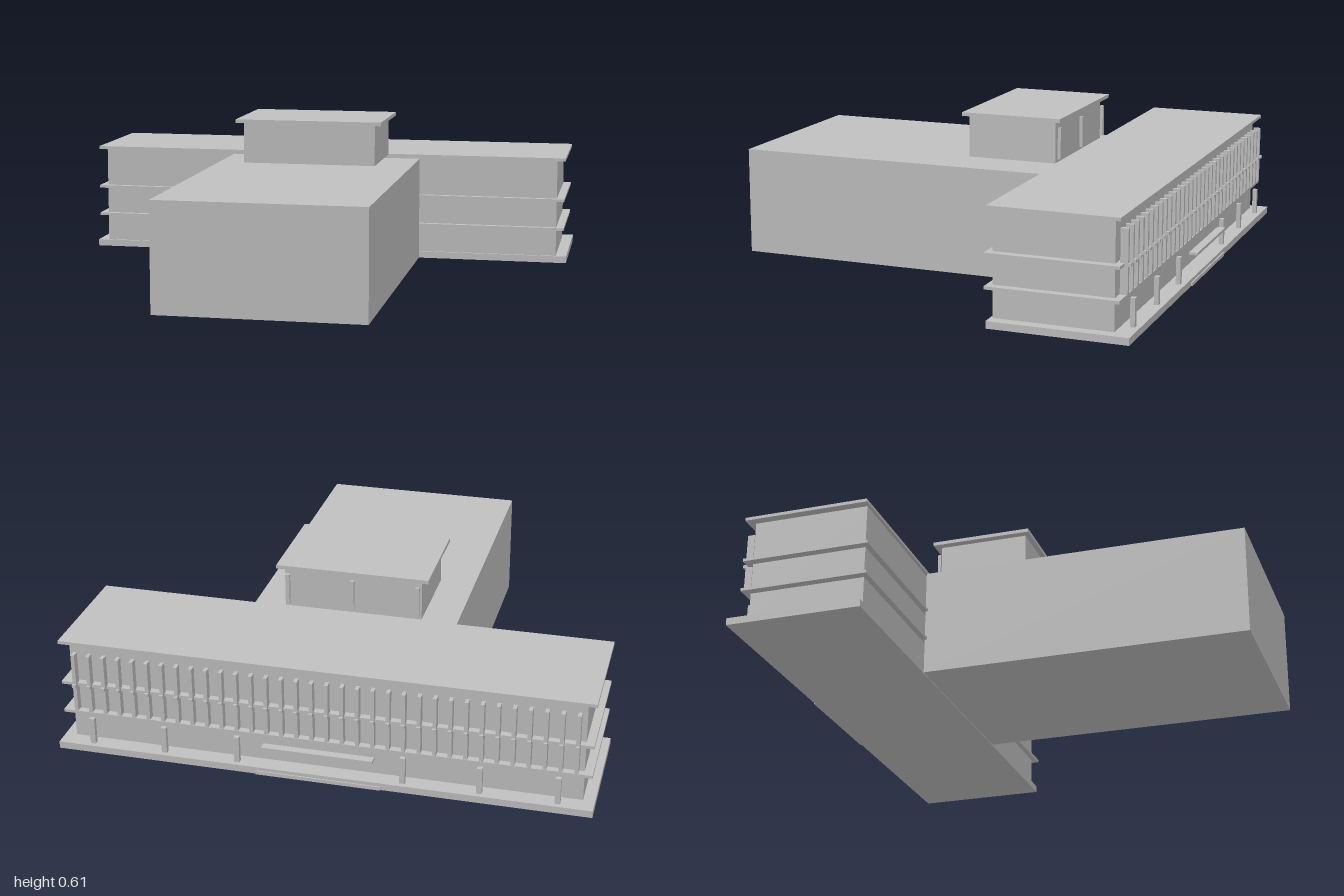
import * as THREE from 'three';

export function createModel() {
  const model = new THREE.Group();
  model.name = 'building';
  const grey = new THREE.MeshStandardMaterial({ name: 'concrete grey', color: 0xbfbfbf });

  // Box given by its lower and upper limits on each axis
  function box(name, [x0, x1], [y0, y1], [z0, z1], parent = model) {
    const mesh = new THREE.Mesh(new THREE.BoxGeometry(x1 - x0, y1 - y0, z1 - z0), grey);
    mesh.position.set((x0 + x1) / 2, (y0 + y1) / 2, (z0 + z1) / 2);
    mesh.name = name;
    parent.add(mesh);
    return mesh;
  }
  function group(name) {
    const g = new THREE.Group();
    g.name = name;
    model.add(g);
    return g;
  }

  // Hall projecting to the front
  box('frontHall', [-0.395, 0.392], [0, 0.415], [-0.358, 0.89]);

  // Long rear wing with its plinth, floor slabs and roof
  box('plinth', [-0.998, 0.998], [0, 0.027], [-0.876, -0.361]);
  box('wingWalls', [-0.955, 0.955], [0.027, 0.42], [-0.81, -0.37]);
  for (const y of [0.135, 0.254]) {
    box('floorSlab', [-0.986, 0.986], [y, y + 0.011], [-0.836, -0.349]);
  }
  box('roofSlab', [-0.988, 0.988], [0.42, 0.432], [-0.838, -0.359]);

  // Rooftop room with overhanging roof and rear posts
  const rooftop = group('rooftopRoom');
  box('rooftopWalls', [-0.265, 0.263], [0.43, 0.591], [-0.348, 0], rooftop);
  box('rooftopRoof', [-0.294, 0.29], [0.591, 0.605], [-0.374, 0.02], rooftop);
  for (const x of [-0.25, 0, 0.25]) {
    box('rooftopPost', [x - 0.008, x + 0.008], [0.445, 0.565], [-0.367, -0.355], rooftop);
  }

  // Sun fins along the rear facade, each with a small bracket
  const fins = group('facadeFins');
  const count = 34;
  for (let i = 0; i < count; i++) {
    const x = -0.93 + (1.86 * i) / (count - 1);
    box('fin', [x - 0.007, x + 0.007], [0.155, 0.385], [-0.849, -0.821], fins);
    box('finBracket', [x - 0.007, x + 0.007], [0.254, 0.266], [-0.859, -0.836], fins);
  }

  // Ground floor columns
  const columns = group('groundColumns');
  for (const x of [0.31, 0.59, 0.87]) {
    for (const s of [-1, 1]) {
      box('column', [s * x - 0.01, s * x + 0.01], [0.027, 0.13], [-0.858, -0.841], columns);
    }
  }

  // Rear entrance canopy and step
  box('entranceCanopy', [-0.208, 0.205], [0.112, 0.122], [-0.89, -0.858]);
  box('entranceStep', [-0.235, 0.232], [0, 0.014], [-0.881, -0.86]);

  return model;
}
